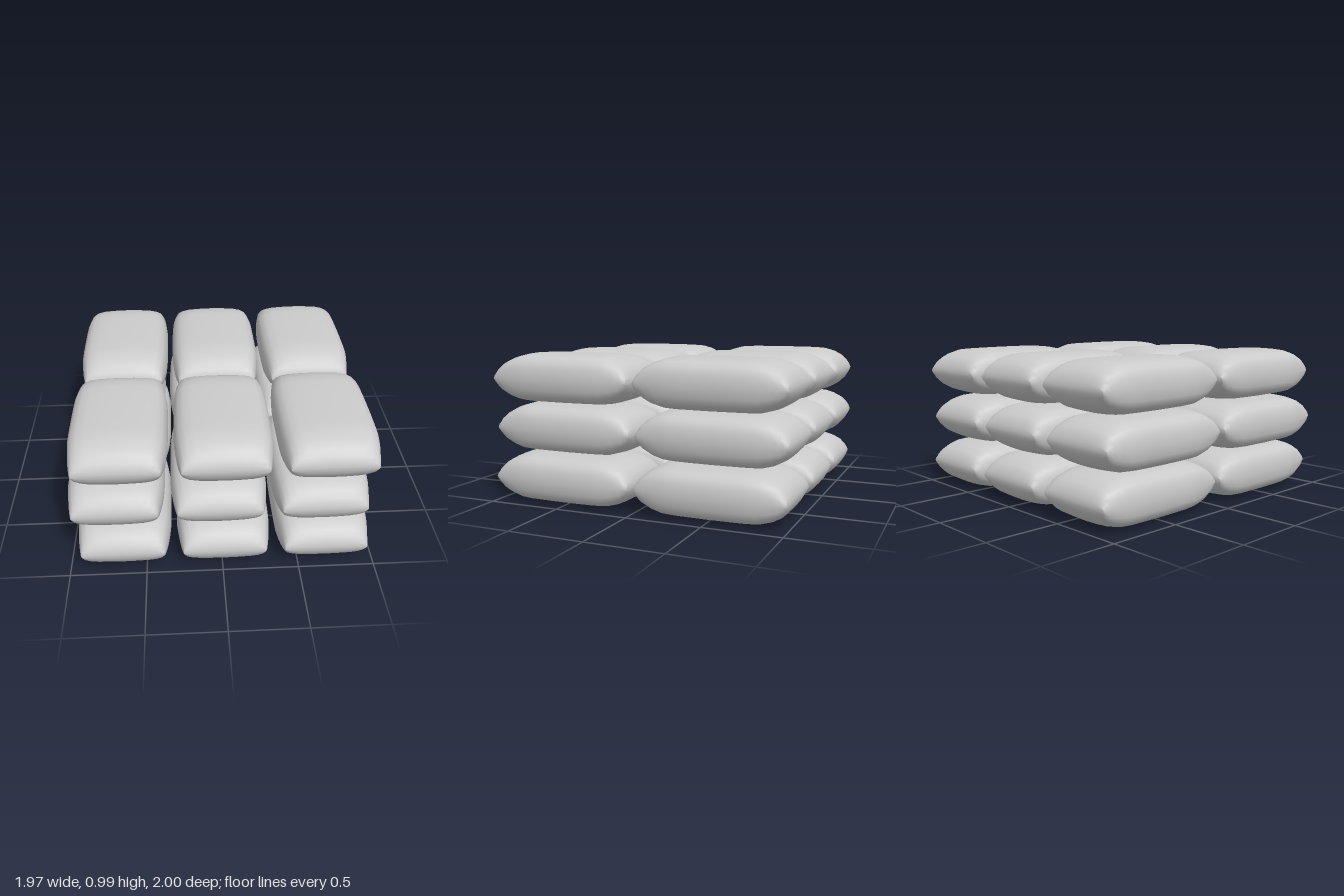
import * as THREE from 'three';

// Cushion-shaped bag lofted from rounded cross-sections along z
function bagGeometry() {
  // right half of the section, bottom to top, as fractions of half width / half height
  const side = [[0.3, -0.985], [0.6, -0.94], [0.78, -0.85], [0.9, -0.7], [0.975, -0.42], [1, 0],
    [0.975, 0.42], [0.9, 0.7], [0.78, 0.85], [0.6, 0.94], [0.3, 0.985]];
  const loop = [[0, -1], ...side, [0, 1], ...side.map(([x, y]) => [-x, y]).reverse()];

  // [z, half width, half height] from the middle to one end
  const half = [[0, 0.312, 0.163], [0.15, 0.311, 0.162], [0.24, 0.309, 0.161], [0.31, 0.301, 0.157],
    [0.38, 0.291, 0.137], [0.435, 0.281, 0.107], [0.465, 0.275, 0.075], [0.483, 0.27, 0.04], [0.489, 0.267, 0.015]];
  const sections = [...half.slice(1).reverse().map(([z, w, h]) => [-z, w, h]), ...half];

  const n = loop.length;
  const positions = [];
  const index = [];
  for (const [z, w, h] of sections) {
    for (const [x, y] of loop) positions.push(x * w, y * h, z);
  }
  for (let s = 0; s < sections.length - 1; s++) {
    for (let i = 0; i < n; i++) {
      const a = s * n + i, b = s * n + (i + 1) % n;
      index.push(a, b, b + n, a, b + n, a + n);
    }
  }
  // close both ends
  const last = (sections.length - 1) * n;
  const centre = positions.length / 3;
  positions.push(0, 0, -0.489, 0, 0, 0.489);
  for (let i = 0; i < n; i++) {
    const j = (i + 1) % n;
    index.push(centre, j, i, centre + 1, last + i, last + j);
  }

  const geometry = new THREE.BufferGeometry();
  geometry.setAttribute('position', new THREE.Float32BufferAttribute(positions, 3));
  geometry.setIndex(index);
  geometry.computeVertexNormals();
  return geometry;
}

export function createModel() {
  const group = new THREE.Group();
  group.name = 'sandbagStack';
  const geometry = bagGeometry();
  const material = new THREE.MeshStandardMaterial({ color: 0xcccccc, roughness: 0.9 });

  // three layers of 3 x 2 bags, the middle layer shifted sideways
  [0.165, 0.496, 0.827].forEach((y, layer) => {
    const row = new THREE.Group();
    row.name = `bagLayer${layer + 1}`;
    const shift = layer === 1 ? -0.017 : 0.014;
    for (const x of [-0.658, 0, 0.658]) {
      for (const z of [-0.511, 0.511]) {
        const bag = new THREE.Mesh(geometry, material);
        bag.name = 'sandbag';
        bag.position.set(x + shift, y, z);
        row.add(bag);
      }
    }
    group.add(row);
  });
  return group;
}
